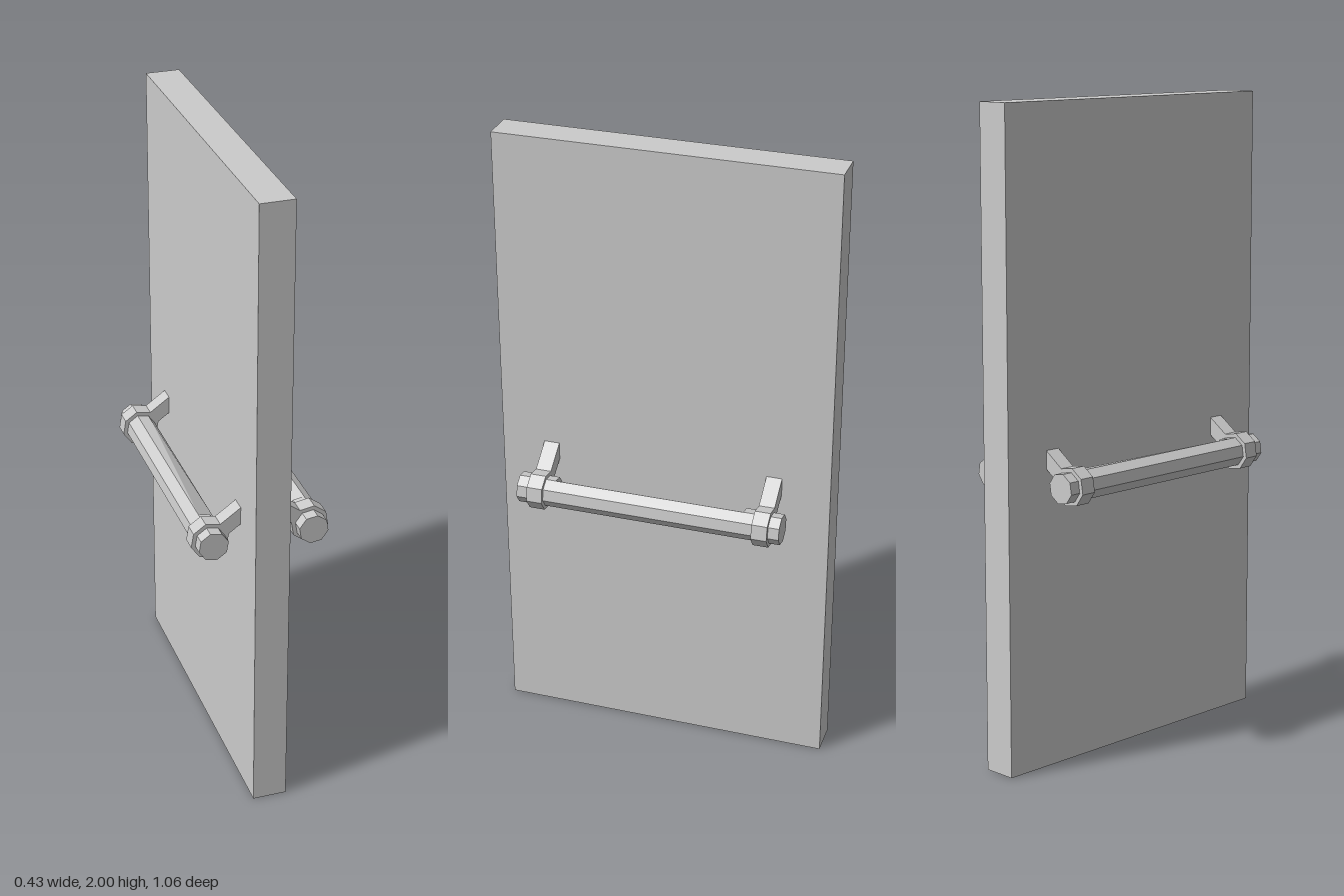
import * as THREE from 'three';

const BAR_Y = 0.882, BAR_R = 0.047, COLLAR_R = 0.06;
const DOOR_MIN = -0.063, DOOR_MAX = 0.043;
const FRONT_END = 0.31, BACK_END = -0.29;

export function createModel() {
  const model = new THREE.Group();
  const material = new THREE.MeshStandardMaterial({ color: 0xcccccc, flatShading: true });

  const add = (parent, name, geometry) => {
    const mesh = new THREE.Mesh(geometry, material);
    mesh.name = name;
    parent.add(mesh);
  };

  // Prism with the given outline between two depths
  const prism = (points, z0, z1) =>
    new THREE.ExtrudeGeometry(new THREE.Shape(points), { depth: z1 - z0, bevelEnabled: false })
      .translate(0, 0, z0);

  // Octagon around the bar axis; corners 2 and 3 face the door
  const octagon = (side, cx, r) => Array.from({ length: 8 }, (_, k) => {
    const a = THREE.MathUtils.degToRad(32 + 45 * k);
    return new THREE.Vector2(cx + side * r * Math.cos(a), BAR_Y + r * Math.sin(a));
  });

  // Open skin between a back and a front ring
  const loft = (back, front, z0, z1, side) => {
    const a = back.map(p => new THREE.Vector3(p.x, p.y, z0));
    const b = front.map(p => new THREE.Vector3(p.x, p.y, z1));
    const corners = [];
    const tri = (p, q, r) => {
      if (p.equals(q) || q.equals(r) || r.equals(p)) return;
      corners.push(...(side > 0 ? [p, q, r] : [p, r, q]));
    };
    a.forEach((_, i) => {
      const j = (i + 1) % a.length;
      tri(a[i], a[j], b[j]);
      tri(a[i], b[j], b[i]);
    });
    const geometry = new THREE.BufferGeometry().setFromPoints(corners);
    geometry.computeVertexNormals();
    return geometry;
  };

  // Door panel
  add(model, 'doorPanel', new THREE.BoxGeometry(DOOR_MAX - DOOR_MIN, 2, 1.056)
    .translate((DOOR_MIN + DOOR_MAX) / 2, 1, 0));

  // One pull bar on each face of the door
  for (const side of [1, -1]) {
    const handle = new THREE.Group();
    handle.name = side > 0 ? 'leftHandle' : 'rightHandle';
    model.add(handle);

    const cx = side > 0 ? 0.155 : -0.158;
    const doorX = side > 0 ? DOOR_MAX : DOOR_MIN;
    const ring = octagon(side, cx, BAR_R);
    const collar = octagon(side, cx, COLLAR_R);

    // Bar ends, and a grip with its inner edge flattened
    const flat = ring.map((p, k) => (k === 2 ? ring[1] : p));
    add(handle, 'backBarEnd', prism(ring, -0.41, BACK_END));
    add(handle, 'frontBarEnd', prism(ring, FRONT_END, 0.428));
    add(handle, 'grip', loft(side > 0 ? flat : ring, flat, BACK_END, FRONT_END, side));

    // Sloping arm drawn out from the collar face nearest the door
    const slope = Math.tan(THREE.MathUtils.degToRad(35.5));
    const toDoor = p => new THREE.Vector2(doorX, p.y + Math.abs(p.x - doorX) * slope);
    const arm = [collar[2], collar[3], toDoor(collar[3]), toDoor(collar[2])];

    for (const [label, z0, z1] of [['back', -0.376, -0.327], ['front', 0.342, 0.391]]) {
      add(handle, label + 'Collar', prism(collar, z0, z1));
      add(handle, label + 'Arm', prism(arm, z0, z1));
    }
  }
  return model;
}
